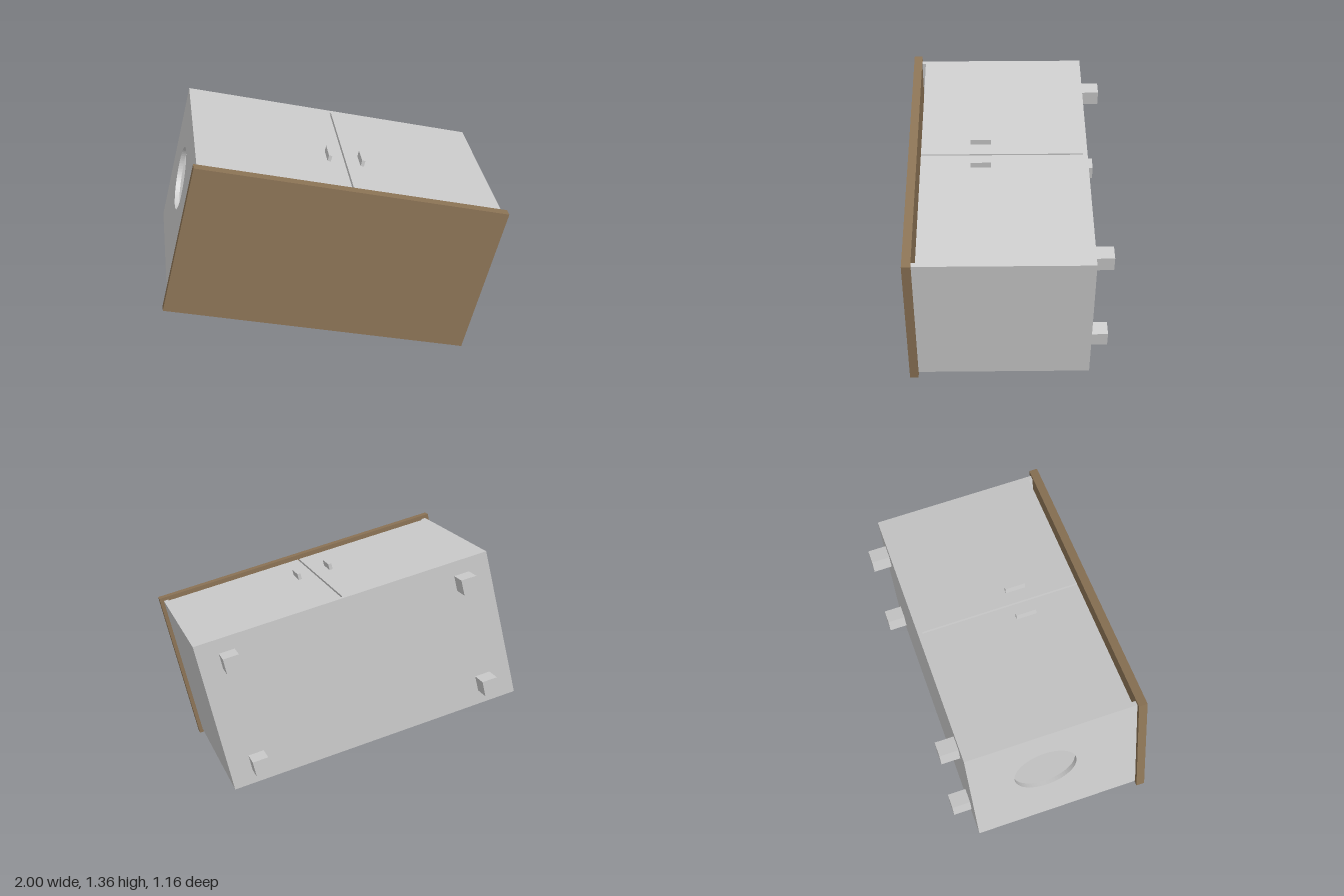
import * as THREE from 'three';

const L = 1.781, H = 0.906;      // carcass length and depth
const BACK = -0.47, FRONT = 0.53; // carcass extent along z
const T = 0.028;                  // board thickness

export function createModel() {
  const model = new THREE.Group();
  model.name = 'tiltedCabinet';
  const grey = new THREE.MeshStandardMaterial({ color: 0xcccccc, flatShading: true });
  const brown = new THREE.MeshStandardMaterial({ color: 0x8b7355, flatShading: true });

  // Everything is built square, then the whole cabinet is tipped about z
  const cabinet = new THREE.Group();
  cabinet.name = 'cabinet';
  cabinet.rotation.z = -0.2408;
  cabinet.position.y = 0.679;
  model.add(cabinet);

  // Box given by its min / max corners
  function board(name, x0, x1, y0, y1, z0, z1, material = grey) {
    const mesh = new THREE.Mesh(new THREE.BoxGeometry(x1 - x0, y1 - y0, z1 - z0), material);
    mesh.position.set((x0 + x1) / 2, (y0 + y1) / 2, (z0 + z1) / 2);
    mesh.name = name;
    cabinet.add(mesh);
    return mesh;
  }

  // Worktop slab
  board('worktop', -0.914, 0.914, -0.4735, 0.4735, FRONT, 0.58, brown);

  // Carcass: base, rear panel and plain side
  const w = L / 2, h = H / 2, inner = w - T;
  board('basePanel', -inner, inner, -h, h, BACK, BACK + T);
  board('rearPanel', -inner, inner, -h, -h + T, BACK + T, FRONT);
  board('plainSide', inner, w, -h, h, BACK, FRONT);

  // Side with the round opening
  const outline = new THREE.Shape();
  outline.moveTo(BACK, -h).lineTo(FRONT, -h).lineTo(FRONT, h).lineTo(BACK, h).closePath();
  const hole = new THREE.Path();
  hole.absarc(-0.022, 0.07, 0.187, 0, Math.PI * 2, true);
  outline.holes.push(hole);
  const side = new THREE.Mesh(
    new THREE.ExtrudeGeometry(outline, { depth: T, bevelEnabled: false, curveSegments: 32 }), grey);
  side.rotation.y = -Math.PI / 2;
  side.position.x = -inner;
  side.name = 'sideWithOpening';
  cabinet.add(side);

  // Pair of doors with a centre slit, a gap under the worktop and bar handles
  for (const s of [-1, 1]) {
    const label = s > 0 ? 'left' : 'right';
    const a = s * 0.005, b = s * inner;
    board(label + 'Door', Math.min(a, b), Math.max(a, b), h - T, h, BACK + T, 0.508);
    board(label + 'Handle', s * 0.1 - 0.01, s * 0.1 + 0.01, h, 0.49, 0.097, 0.217);
  }

  // Four square feet
  const f = 0.0465;
  for (const x of [-0.716, 0.716])
    for (const y of [-0.323, 0.323])
      board('foot', x - f, x + f, y - f, y + f, -0.58, BACK);

  return model;
}
